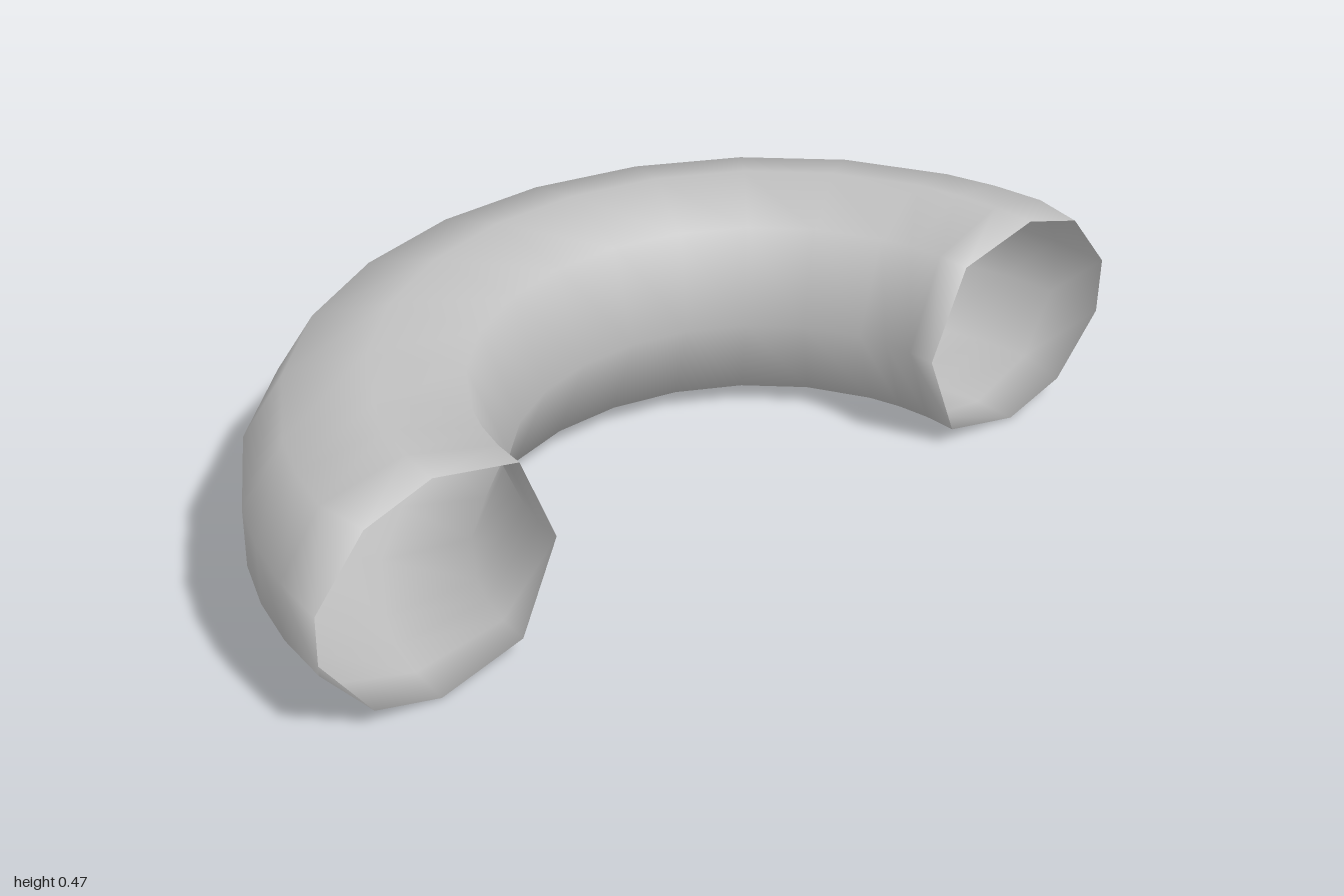
import * as THREE from 'three';

const grey = new THREE.MeshStandardMaterial({ color: 0xc0c0c0, side: THREE.DoubleSide });
grey.name = 'grey';

// Tube cross-section as [radius from bend centre, height], from the outer wall over the top
const section = [
  [1, 0.174], [1, 0.297], [0.917, 0.427], [0.75, 0.471], [0.565, 0.427],
  [0.485, 0.235], [0.565, 0.044], [0.75, 0], [0.917, 0.044],
];

// Ring angles, closer together near the open ends
const half = [7.5, 22.5, 37.5, 52.5, 67.5, 75, 82.5, 90];
const angles = [...half.map((a) => -a).reverse(), ...half];

function bentTube() {
  const n = section.length;
  const positions = [], indices = [];
  angles.forEach((deg, i) => {
    const a = THREE.MathUtils.degToRad(deg);
    const isEnd = i === 0 || i === angles.length - 1;
    section.forEach(([r, y]) => {
      const radius = isEnd && r === 0.917 ? 0.893 : r; // slightly pinched mouth
      positions.push(0.455 - 0.918 * radius * Math.cos(a), y, radius * Math.sin(a));
    });
    if (i === angles.length - 1) return;
    for (let j = 0; j < n; j++) {
      const p = i * n + j, q = i * n + ((j + 1) % n);
      indices.push(p, p + n, q, q, p + n, q + n);
    }
  });
  const geometry = new THREE.BufferGeometry();
  geometry.setAttribute('position', new THREE.Float32BufferAttribute(positions, 3));
  geometry.setIndex(indices);
  geometry.computeVertexNormals();

  // Roll the normals of both mouths toward the opening for a soft rim
  const normals = geometry.attributes.normal;
  const v = new THREE.Vector3();
  for (let k = 0; k < normals.count; k++) {
    if (k >= n && k < normals.count - n) continue;
    v.fromBufferAttribute(normals, k);
    v.x += 0.8;
    v.normalize();
    normals.setXYZ(k, v.x, v.y, v.z);
  }
  return geometry;
}

export function createModel() {
  const group = new THREE.Group();
  group.name = 'curvedPipe';
  const tube = new THREE.Mesh(bentTube(), grey);
  tube.name = 'bentTube';
  group.add(tube);
  return group;
}
